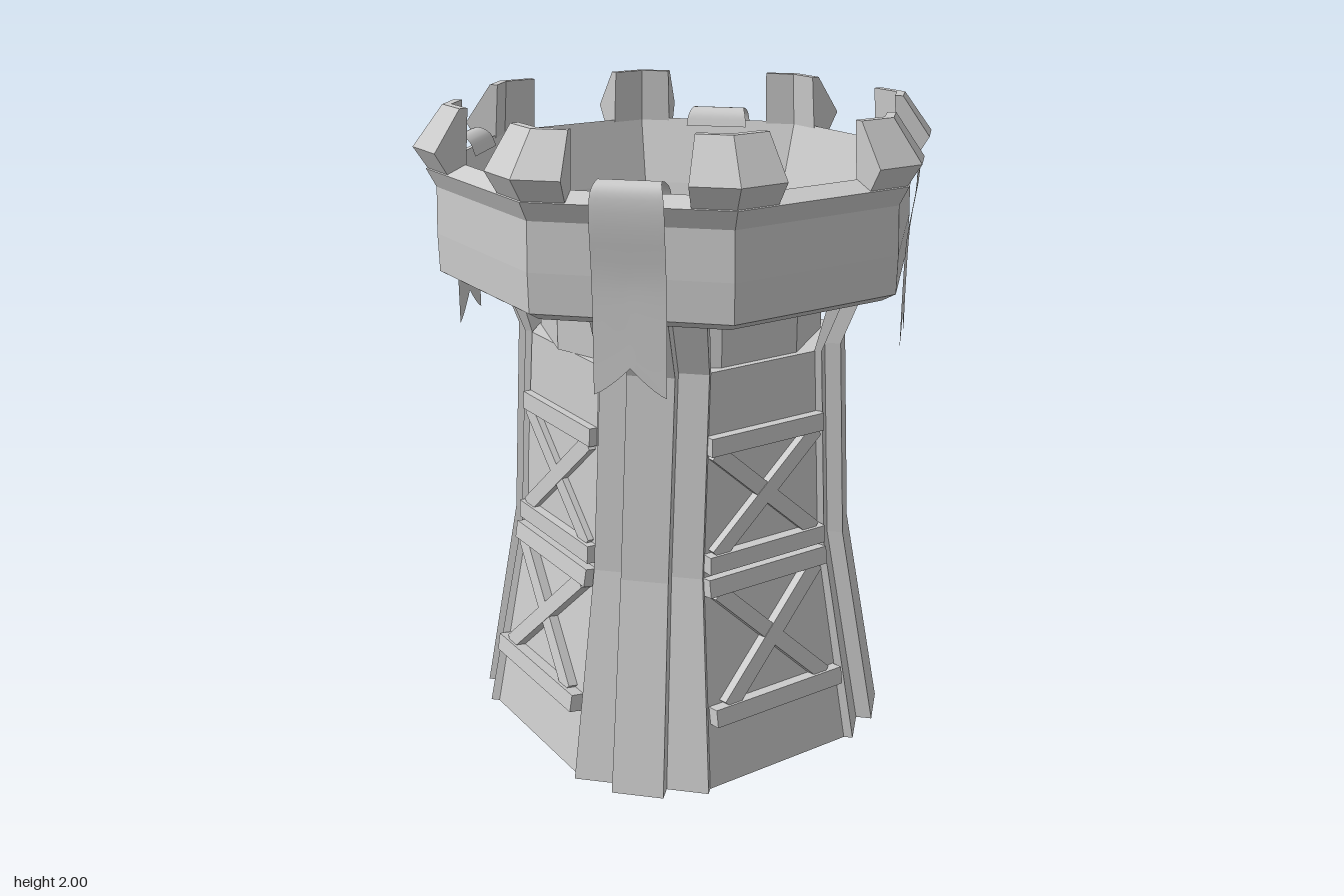
import * as THREE from 'three';

const stone = new THREE.MeshStandardMaterial({ color: 0xcccccc, flatShading: true });
const cloth = new THREE.MeshStandardMaterial({ color: 0xcccccc, side: THREE.DoubleSide });
const V = (x, y, z) => new THREE.Vector3(x, y, z);

// Closed solid through a list of equal-length point rings, capped at both ends.
function loft(rings) {
  const tris = [];
  const n = rings[0].length;
  for (let i = 0; i < rings.length - 1; i++) {
    for (let j = 0; j < n; j++) {
      const k = (j + 1) % n;
      const a = rings[i][j], b = rings[i][k], c = rings[i + 1][k], d = rings[i + 1][j];
      tris.push([a, b, c], [a, c, d]);
    }
  }
  const cap = (ring, flip) => {
    const mid = ring.reduce((s, p) => s.add(p), V(0, 0, 0)).divideScalar(n);
    ring.forEach((p, j) => {
      const q = ring[(j + 1) % n];
      tris.push(flip ? [mid, q, p] : [mid, p, q]);
    });
  };
  cap(rings[0], true);
  cap(rings[rings.length - 1], false);
  // make every face look outward
  const volume = tris.reduce((s, [a, b, c]) => s + a.dot(b.clone().cross(c)), 0);
  if (volume < 0) tris.forEach((t) => t.reverse());
  const geo = new THREE.BufferGeometry().setFromPoints(tris.flat());
  geo.computeVertexNormals();
  return geo;
}

function add(parent, name, geo, material = stone) {
  const mesh = new THREE.Mesh(geo, material);
  mesh.name = name;
  parent.add(mesh);
  return mesh;
}

// Octagonal trunk: y, half width of the main walls, their distance along x and z.
function trunkGeometry() {
  const levels = [[0, 0.29, 0.56, 0.56], [0.66, 0.225, 0.45, 0.45], [1.29, 0.2, 0.42, 0.44]];
  return loft(levels.map(([y, w, fx, fz]) => [
    V(-w, y, fz), V(w, y, fz), V(fx, y, w), V(fx, y, -w),
    V(w, y, -fz), V(-w, y, -fz), V(-fx, y, -w), V(-fx, y, w),
  ]));
}

// Stepped pillar on the +x +z corner:
// y, inner, flank and strip distances, flank and strip half widths, shift along z.
function pillarGeometry() {
  const levels = [
    [0, 0.5, 0.61, 0.66, 0.21, 0.08, 0],
    [0.66, 0.4, 0.491, 0.54, 0.166, 0.072, 0],
    [1.29, 0.425, 0.447, 0.495, 0.16, 0.07, 0.025],
    [1.52, 0.49, 0.54, 0.59, 0.172, 0.07, 0.015],
  ];
  const s = Math.SQRT1_2;
  return loft(levels.map(([y, inner, flank, strip, fw, sw, dz]) => [
    [-fw, inner], [-fw, flank], [-sw, flank], [-sw, strip],
    [sw, strip], [sw, flank], [fw, flank], [fw, inner],
  ].map(([u, v]) => V((v + u) * s, y, (v - u) * s + dz))));
}

// Ridged merlon folded round a corner of the crown, ending on a main and a diagonal wall.
function merlonGeometry() {
  const profile = [[0.64, 1.8], [0.677, 1.78], [0.735, 1.88], [0.65, 2], [0.625, 2]];
  const s = Math.SQRT1_2, main = 0.155, diagonal = 0.168, k = Math.tan(Math.PI / 8);
  return loft([
    profile.map(([r, y]) => V(main, y, r)),
    profile.map(([r, y]) => V(r * k, y, r)),
    profile.map(([r, y]) => V((r - diagonal) * s, y, (r + diagonal) * s)),
  ]);
}

// Crossed timber frame lying on a wall; its origin is at mid height on the wall.
function braceFrame(height, bottomWidth, topWidth) {
  const frame = new THREE.Group();
  frame.name = 'braceFrame';
  const beam = 0.056, inner = height - 2 * beam, span = 0.35;
  const lower = add(frame, 'lowerBeam', new THREE.BoxGeometry(bottomWidth, beam, 0.07));
  lower.position.y = -(height - beam) / 2;
  const upper = add(frame, 'upperBeam', new THREE.BoxGeometry(topWidth, beam, 0.06));
  upper.position.y = (height - beam) / 2;
  for (const side of [-1, 1]) {
    const bar = add(frame, 'crossBrace',
      new THREE.BoxGeometry(Math.hypot(span, inner) + 0.02, 0.05, 0.05 + side * 0.002));
    bar.rotation.z = side * Math.atan2(inner, span);
  }
  return frame;
}

// Swallow-tailed banner draped over the crown.
function bannerGeometry() {
  const path = new THREE.CatmullRomCurve3([
    V(0, 1.82, 0.615), V(0, 1.86, 0.632), V(0, 1.878, 0.665), V(0, 1.862, 0.705),
    V(0, 1.8, 0.715), V(0, 1.62, 0.694), V(0, 1.45, 0.69), V(0, 1.29, 0.69),
  ]);
  const geo = new THREE.PlaneGeometry(1, 1, 12, 28);
  const p = geo.attributes.position;
  for (let i = 0; i < p.count; i++) {
    const u = p.getX(i) * 2, t = 0.5 - p.getY(i);
    const c = path.getPoint(t);
    const width = 0.102 - 0.015 * Math.exp(-(((t - 0.3) / 0.16) ** 2));
    const notch = 0.08 * (1 - Math.abs(u)) ** 1.3 * Math.max(0, (t - 0.7) / 0.3);
    p.setXYZ(i, u * width, c.y + notch, c.z);
  }
  geo.computeVertexNormals();
  return geo;
}

// Roof stone rising towards the middle of the platform.
function wedgeGeometry() {
  const section = (r, w, top) => [V(-w, 1.42, r), V(w, 1.42, r), V(w, top, r), V(-w, top, r)];
  return loft([section(0.415, 0.08, 1.461), section(0.15, 0.028, 1.62)]);
}

export function createModel() {
  const tower = new THREE.Group();
  tower.name = 'tower';
  add(tower, 'trunk', trunkGeometry());

  // ten-sided platform with its ring of rising stones
  const platform = add(tower, 'platform', new THREE.CylinderGeometry(0.44, 0.44, 0.17, 10));
  platform.position.y = 1.375;
  platform.rotation.y = Math.PI / 10;
  const wedge = wedgeGeometry();
  for (const a of [28, 72, 108, 152, 208, 252, 288, 332]) {
    add(tower, 'roofStone', wedge).rotation.y = THREE.MathUtils.degToRad(a);
  }

  // hollow eight-sided crown
  const profile = [
    [0.54, 1.49], [0.64, 1.48], [0.68, 1.505], [0.682, 1.62], [0.677, 1.76], [0.703, 1.815],
    [0.64, 1.84], [0.575, 1.63], [0.54, 1.49],
  ].map(([r, y]) => new THREE.Vector2(r / Math.cos(Math.PI / 8), y));
  add(tower, 'crown', new THREE.LatheGeometry(profile, 8, Math.PI / 8));

  const pillar = pillarGeometry(), merlon = merlonGeometry(), banner = bannerGeometry();
  for (let i = 0; i < 4; i++) {
    // a mirrored pair of merlons on each main wall
    for (const side of [-1, 1]) {
      const tooth = add(tower, 'merlon', merlon);
      tooth.scale.x = side;
      tooth.rotation.y = i * Math.PI / 2;
    }

    // corner pillar and banner
    add(tower, 'pillar', pillar).scale.set(i % 2 ? -1 : 1, 1, i < 2 ? 1 : -1);
    add(tower, 'banner', banner, cloth).rotation.y = Math.PI / 4 + i * Math.PI / 2;

    // two timber frames leaning with the wall
    const wall = new THREE.Group();
    wall.name = 'wallTimbers';
    wall.rotation.y = i * Math.PI / 2;
    const low = braceFrame(0.46, 0.48, 0.44);
    low.position.set(0, 0.43, 0.495);
    low.rotation.x = -Math.atan2(0.11, 0.66);
    const high = braceFrame(0.425, 0.43, 0.41);
    high.position.set(0, 0.888, i % 2 ? 0.435 : 0.447);
    high.rotation.x = i % 2 ? -0.045 : -0.015;
    wall.add(low, high);
    tower.add(wall);
  }
  return tower;
}
